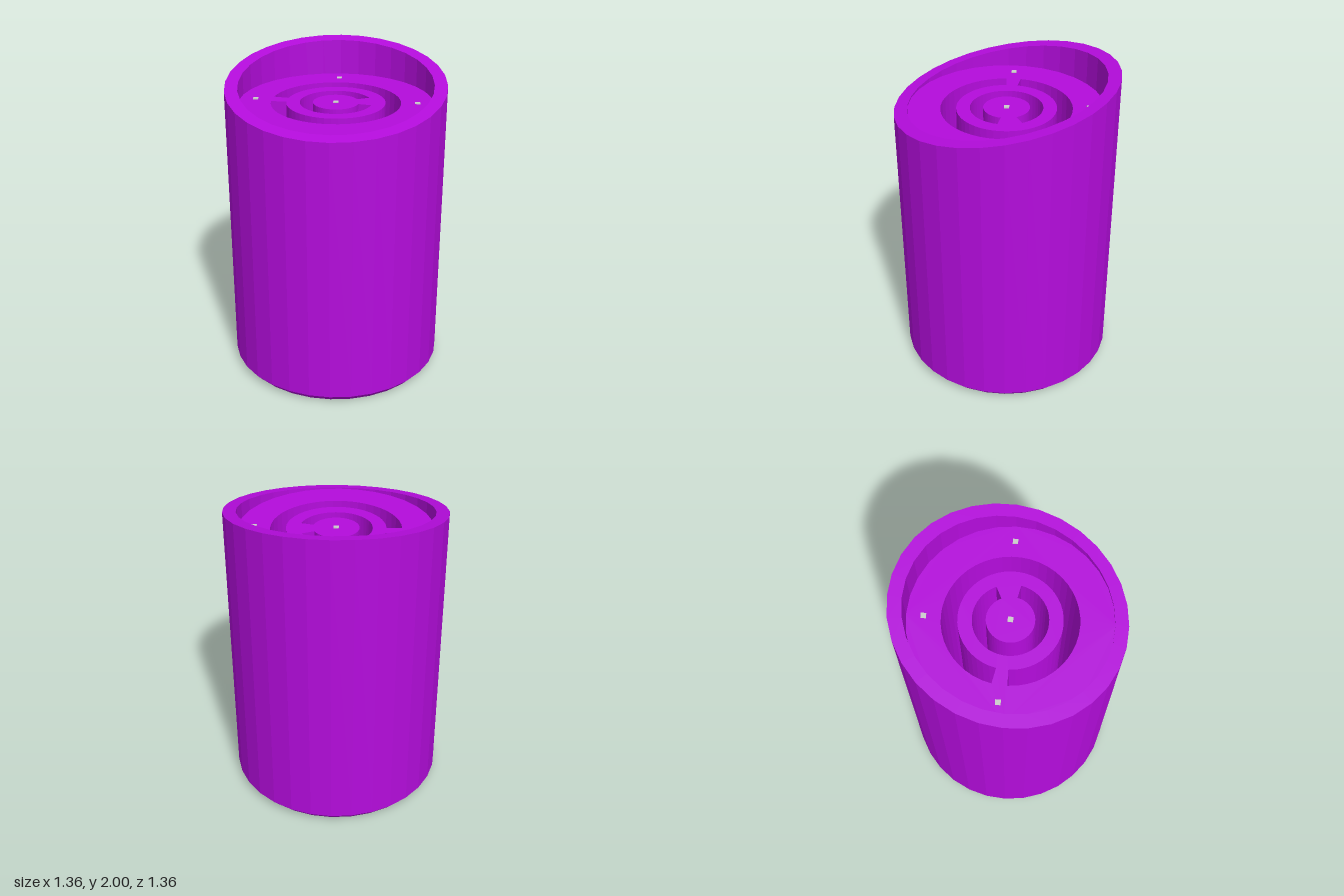
import * as THREE from 'three';

const SIDES = 32;
const RIM = 1.875;      // rim height on the axis
const SLOPE = 0.184;    // rim drop towards the front
const PLUG_BOTTOM = 0.08;
const PLUG_TOP = 1.757;

const purple = new THREE.MeshStandardMaterial({ color: 0xb40cdc, flatShading: true });
const grey = new THREE.MeshStandardMaterial({ color: 0xcccccc, flatShading: true });

function add(group, name, geometry, material) {
  const mesh = new THREE.Mesh(geometry, material);
  mesh.name = name;
  group.add(mesh);
  return mesh;
}

// Points on an arc, angles in degrees
function arc(radius, from, to, steps) {
  return Array.from({ length: steps + 1 }, (_, i) => {
    const a = THREE.MathUtils.degToRad(from + ((to - from) * i) / steps);
    return new THREE.Vector2(radius * Math.cos(a), radius * Math.sin(a));
  });
}

// C-shaped slot; the missing part of the circle is the bridge between two rings
function slot(rIn, rOut, from, to) {
  return new THREE.Path([...arc(rOut, from, to, 44), ...arc(rIn, to, from, 44)]);
}

// Tube with a chamfered foot and a slanted rim
function sleeveGeometry() {
  const profile = [[0.6, 0], [0.64, 0], [0.68, 0.045], [0.68, RIM], [0.6, RIM], [0.6, 0]]
    .map(([r, y]) => new THREE.Vector2(r, y));
  const geometry = new THREE.LatheGeometry(profile, SIDES);
  const p = geometry.attributes.position;
  for (let i = 0; i < p.count; i++) {
    if (p.getY(i) > 1) p.setY(i, RIM - SLOPE * p.getZ(i));
  }
  return geometry;
}

// Level core filling the tube, cut through by two C-shaped slots
function plugGeometry() {
  const shape = new THREE.Shape(arc(0.61, 0, 360, SIDES).slice(0, SIDES));
  shape.holes.push(slot(0.305, 0.4, 181, 528), slot(0.142, 0.222, 25, 347));
  const geometry = new THREE.ExtrudeGeometry(shape, {
    depth: PLUG_TOP - PLUG_BOTTOM, bevelEnabled: false,
  });
  return geometry.rotateX(-Math.PI / 2).translate(0, PLUG_BOTTOM, 0);
}

export function createModel() {
  const model = new THREE.Group();
  model.name = 'slantedCylinder';
  add(model, 'outerSleeve', sleeveGeometry(), purple);
  add(model, 'slottedCore', plugGeometry(), purple);

  // Small square markers on the core
  const markers = new THREE.Group();
  markers.name = 'markers';
  for (const [x, z] of [[0, 0], [0.5, 0], [-0.5, -0.04], [-0.005, -0.5]]) {
    add(markers, 'marker', new THREE.BoxGeometry(0.032, 0.01, 0.032), grey)
      .position.set(x, PLUG_TOP, z);
  }
  model.add(markers);
  return model;
}
